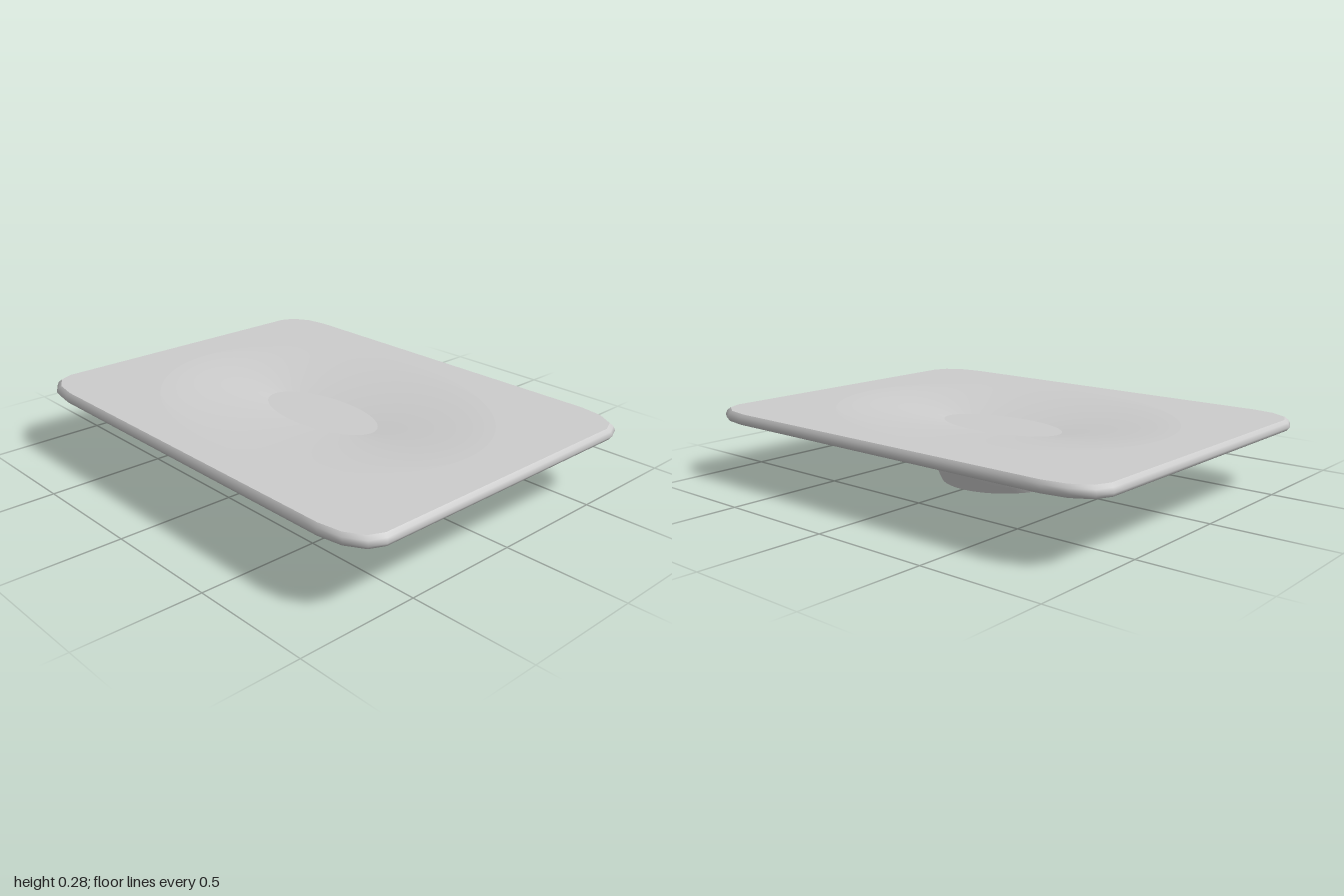
import * as THREE from 'three';

// Unit directions around the dish: each entry pairs a rounded-rectangle point with an ellipse angle.
function makeOutline() {
  const pts = [], hx = 1, hz = 0.75, rx = 0.2, rz = 0.12, side = 14, corner = 3;
  const tX = Math.atan((hz - rz) / hz);       // end of the x = +1 side
  const tZ = Math.atan((hx - rx) / hx);       // end of the z = +0.75 side
  const quarter = [];
  for (let i = 0; i < side; i++) quarter.push([hx, hz * Math.tan(tX * i / side)]);
  for (let i = 0; i <= corner; i++) {
    const a = i / corner * Math.PI / 2;
    quarter.push([hx - rx + rx * Math.cos(a), hz - rz + rz * Math.sin(a)]);
  }
  for (let i = side - 1; i > 0; i--) quarter.push([hx * Math.tan(tZ * i / side), hz]);
  quarter.push([0, hz]);
  const last = quarter.length - 1;
  for (let i = 0; i < last; i++) pts.push(quarter[i]);
  for (let i = last; i > 0; i--) pts.push([-quarter[i][0], quarter[i][1]]);
  for (let i = 0; i < last; i++) pts.push([-quarter[i][0], -quarter[i][1]]);
  for (let i = last; i > 0; i--) pts.push([quarter[i][0], -quarter[i][1]]);
  return pts.map(([x, z]) => {
    const u = x / hx, v = z / hz, l = Math.hypot(u, v);
    return { u, v, c: u / l, s: v / l };
  });
}

// Skin a list of rings [half width, half depth, y, squareness].
function loft(outline, rings) {
  const n = outline.length, pos = [], index = [];
  for (const [a, b, y, k] of rings)
    for (const p of outline)
      pos.push(a * (p.c + (p.u - p.c) * k), y, b * (p.s + (p.v - p.s) * k));
  for (let r = 0; r < rings.length - 1; r++)
    for (let i = 0; i < n; i++) {
      const j = (i + 1) % n, a = r * n + i, b = r * n + j, c = a + n, d = b + n;
      if (rings[r][0] > 0) index.push(a, b, c);
      if (rings[r + 1][0] > 0) index.push(b, d, c);
    }
  const g = new THREE.BufferGeometry();
  g.setAttribute('position', new THREE.Float32BufferAttribute(pos, 3));
  g.setIndex(index);
  g.computeVertexNormals();
  return g;
}

export function createModel() {
  const group = new THREE.Group();
  group.name = 'rectangularDish';
  const grey = new THREE.MeshStandardMaterial({ color: 0xcccccc });
  grey.name = 'plainGrey';
  const outline = makeOutline();
  const add = (name, rings) => {
    const m = new THREE.Mesh(loft(outline, rings), grey);
    m.name = name;
    group.add(m);
  };

  const top = 0.285, floor = 0.23;

  // Oval hollow sloping from the flat border down to the floor
  const hollow = [];
  for (let i = 0; i <= 12; i++) {
    const t = i / 12;
    hollow.push([0.3 + 0.49 * t, 0.148 + 0.452 * t, top - (top - floor) * Math.pow(1 - t, 1.4), 0]);
  }
  add('hollowFloor', [[0, 0, floor, 0], [0.3, 0.148, floor, 0]]);
  add('hollowSlope', hollow);
  add('flatBorder', [[0.79, 0.6, top, 0], [0.98, 0.735, top, 1]]);

  // Rounded rim, tapering underside and waisted foot in one smooth skin
  add('rimUndersideAndFoot', [
    [0.98, 0.735, top, 1],
    [0.993, 0.745, 0.273, 1],
    [1, 0.75, 0.256, 1],
    [0.99, 0.742, 0.241, 1],
    [0.94, 0.695, 0.224, 1],
    [0.8, 0.59, 0.197, 0.92],
    [0.56, 0.43, 0.163, 0.7],
    [0.38, 0.345, 0.137, 0.4],
    [0.295, 0.305, 0.117, 0.1],
    [0.266, 0.287, 0.098, 0],
    [0.277, 0.277, 0.072, 0],
    [0.28, 0.267, 0.05, 0],
    [0.272, 0.256, 0.025, 0],
    [0.26, 0.245, 0, 0],
  ]);
  add('footBase', [[0.26, 0.245, 0, 0], [0, 0, 0, 0]]);
  return group;
}
